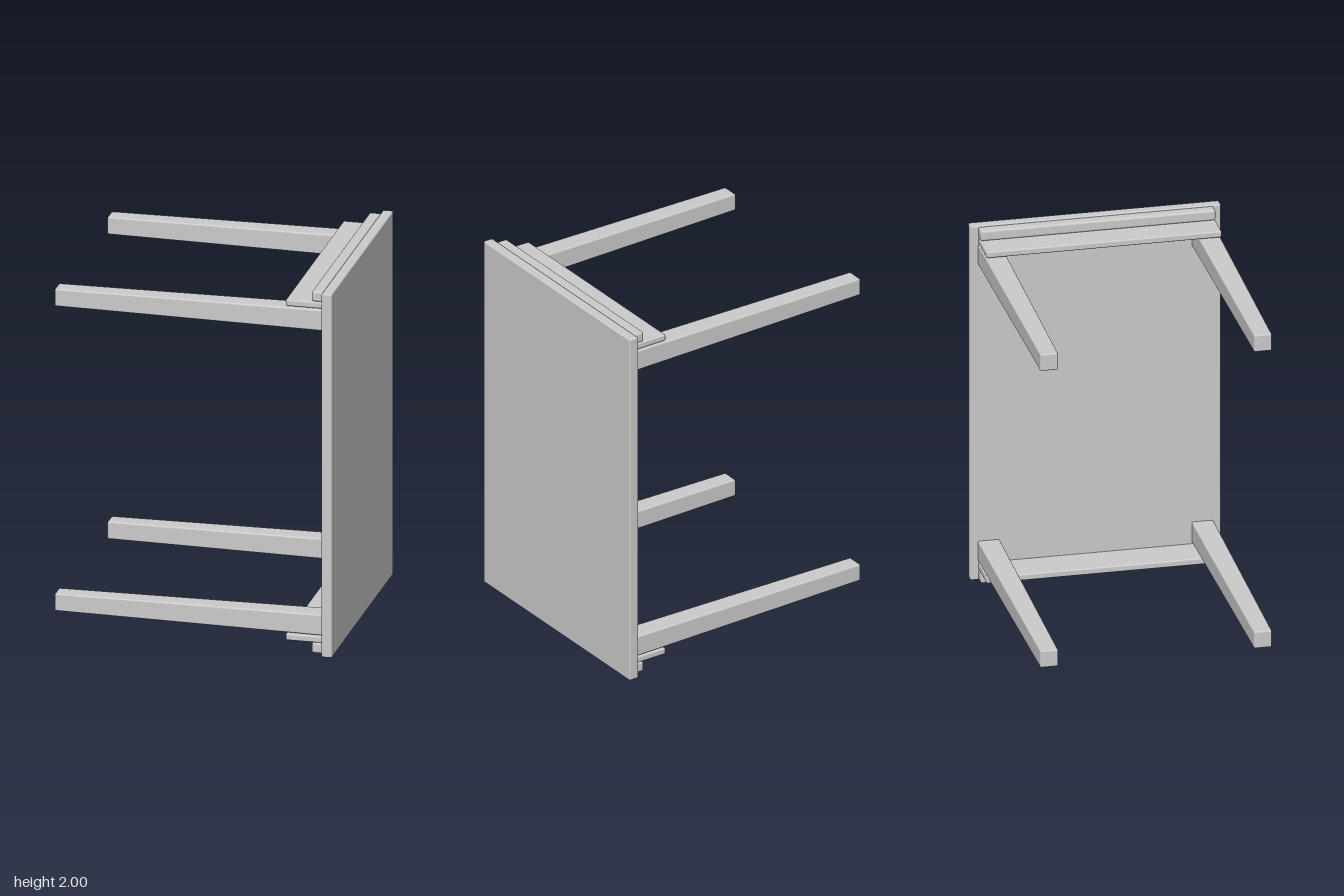
import * as THREE from 'three';
import { RoundedBoxGeometry } from 'three/addons/geometries/RoundedBoxGeometry.js';

const material = new THREE.MeshStandardMaterial({ color: 0xcccccc });

// Softly bevelled board given by its extents [min, max] on x and y, and its length on z
function board(name, [x0, x1], [y0, y1], length, bevel) {
  const geometry = new RoundedBoxGeometry(x1 - x0, y1 - y0, length, 2, bevel);
  const mesh = new THREE.Mesh(geometry, material);
  mesh.name = name;
  mesh.position.set((x0 + x1) / 2, (y0 + y1) / 2, 0);
  return mesh;
}

// Square leg along x, thick where it meets the top (+x) and thinner at the foot (-x)
function legGeometry(length, baseWidth, footWidth) {
  const geometry = new RoundedBoxGeometry(length, baseWidth, baseWidth, 2, 0.01);
  const p = geometry.attributes.position;
  for (let i = 0; i < p.count; i++) {
    const t = p.getX(i) / length + 0.5;
    const s = THREE.MathUtils.lerp(footWidth / baseWidth, 1, t);
    p.setY(i, p.getY(i) * s);
    p.setZ(i, p.getZ(i) * s);
  }
  return geometry;
}

export function createModel() {
  const table = new THREE.Group();
  table.name = 'tableOnItsSide';

  // Table top, standing upright on its short edge
  table.add(board('tableTop', [0.69, 0.746], [0, 2], 1.33, 0.008));

  const legs = legGeometry(1.441, 0.116, 0.095);
  for (const side of [1, -1]) {
    const sideName = side > 0 ? 'upper' : 'lower';
    const span = (a, b) => (side > 0 ? [1 + a, 1 + b] : [1 - b, 1 - a]);

    // Wide end apron and the narrow edge strip beside it
    table.add(board(sideName + 'Apron', [0.489, 0.692], span(0.902, 0.937), 1.248, 0.008));
    table.add(board(sideName + 'EdgeStrip', [0.628, 0.692], span(0.938, 0.996), 1.248, 0.012));

    // Tapered legs
    for (const z of [1, -1]) {
      const leg = new THREE.Mesh(legs, material);
      leg.name = sideName + (z > 0 ? 'FrontLeg' : 'BackLeg');
      leg.position.set(-0.0255, 1 + side * 0.838, z * 0.567);
      table.add(leg);
    }
  }
  return table;
}
